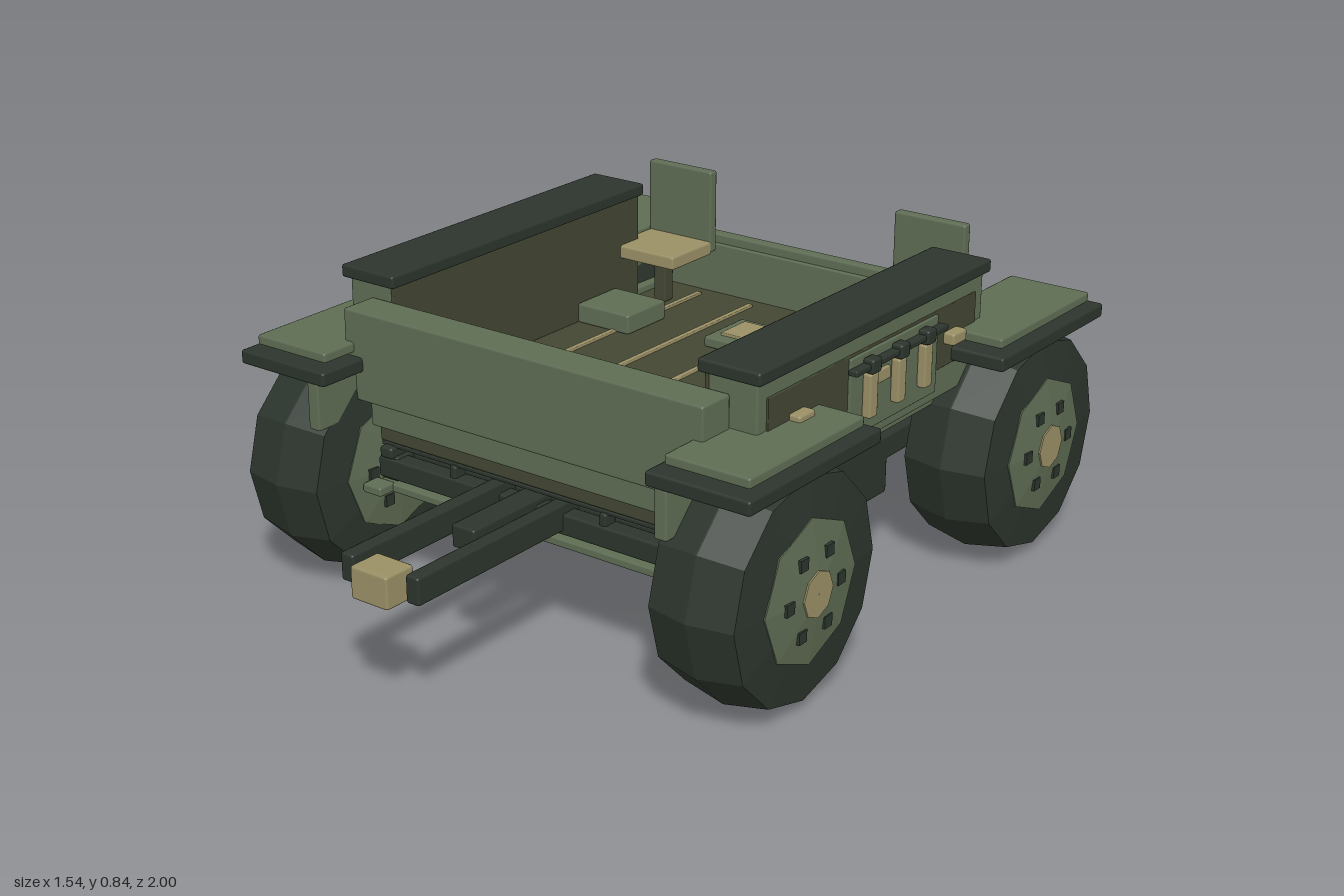
import * as THREE from 'three';
import { RoundedBoxGeometry } from 'three/addons/geometries/RoundedBoxGeometry.js';

const paint = (name, color) => {
  const m = new THREE.MeshStandardMaterial({ color });
  m.name = name;
  return m;
};

export function createModel() {
  const green = paint('field green', 0x5f6d54);
  const dark = paint('dark rubber green', 0x2c352d);
  const tan = paint('tan', 0x9a9066);
  const olive = paint('deck olive', 0x434733);
  const model = new THREE.Group();
  model.name = 'openUtilityCarrier';

  // Softly bevelled box from its x, y and z ranges
  const box = (name, mat, [x0, x1], [y0, y1], [z0, z1]) => {
    const size = [x1 - x0, y1 - y0, z1 - z0];
    const bevel = Math.min(0.007, Math.min(...size) * 0.25);
    const mesh = new THREE.Mesh(new RoundedBoxGeometry(...size, 1, bevel), mat);
    mesh.position.set((x0 + x1) / 2, (y0 + y1) / 2, (z0 + z1) / 2);
    mesh.name = name;
    model.add(mesh);
  };
  // The same box on both sides
  const pair = (name, mat, [x0, x1], y, z) => {
    box(name + 'Left', mat, [x0, x1], y, z);
    box(name + 'Right', mat, [-x1, -x0], y, z);
  };
  // Faceted solid of revolution about the x axis, symmetric about its middle
  const turned = (name, mat, half, sides) => {
    const profile = [...half.map(([r, h]) => [r, -h]), ...half.slice().reverse()];
    let g = new THREE.LatheGeometry(profile.map(p => new THREE.Vector2(...p)), sides);
    g = g.toNonIndexed();
    g.computeVertexNormals();
    g.rotateZ(-Math.PI / 2);
    const mesh = new THREE.Mesh(g, mat);
    mesh.name = name;
    return mesh;
  };

  // Wheel: crowned tyre, shallow conical hub, cap and six bolts
  const makeWheel = () => {
    const wheel = new THREE.Group();
    wheel.name = 'wheel';
    wheel.add(
      turned('tyre', dark, [[0.001, 0.12], [0.15, 0.129], [0.278, 0.115], [0.3, 0.002]], 12),
      turned('hub', green, [[0.001, 0.146], [0.058, 0.146], [0.181, 0.129], [0.181, 0.11]], 8),
      turned('hubCap', tan, [[0.001, 0.15], [0.058, 0.15], [0.058, 0.14]], 8));
    for (let i = 0; i < 6; i++) {
      const a = i * Math.PI / 3;
      const bolt = new THREE.Mesh(new THREE.BoxGeometry(0.29, 0.03, 0.03), dark);
      bolt.position.set(0, 0.102 * Math.sin(a), 0.102 * Math.cos(a));
      bolt.name = 'wheelBolt';
      wheel.add(bolt);
    }
    return wheel;
  };

  for (const z of [0.37, -0.7]) {
    for (const s of [1, -1]) {
      const wheel = makeWheel();
      wheel.position.set(s * 0.621, 0.3, z);
      model.add(wheel);
    }
    // Axle, fender plates and fender inner wall
    box('axle', dark, [-0.55, 0.55], [0.29, 0.35], [z - 0.03, z + 0.03]);
    pair('fenderBase', dark, [0.48, 0.76], [0.575, 0.612], [z - 0.26, z + 0.26]);
    pair('fenderTop', green, [0.507, 0.735], [0.62, 0.647], [z - 0.225, z + 0.225]);
    pair('fenderInnerWall', green, [0.504, 0.54], [0.455, 0.58], [z - 0.258, z + 0.258]);
  }

  // Tub and chassis
  box('underPlate', dark, [-0.47, 0.47], [0.375, 0.385], [-0.76, 0.45]);
  box('lowerTub', olive, [-0.475, 0.475], [0.385, 0.43], [-0.76, 0.45]);
  box('tubBand', green, [-0.48, 0.48], [0.43, 0.465], [-0.78, 0.47]);
  box('frontSill', green, [-0.48, 0.48], [0.43, 0.497], [0.4, 0.474]);
  box('floor', olive, [-0.49, 0.49], [0.46, 0.475], [-0.77, 0.42]);
  pair('sillRail', green, [0.475, 0.56], [0.44, 0.495], [-0.75, 0.42]);
  pair('chassisRail', dark, [0.41, 0.47], [0.29, 0.355], [-0.75, 0.46]);
  for (const z of [-0.74, 0.44]) {
    box('crossMember', dark, [-0.47, 0.47], [0.295, 0.35], [z - 0.025, z + 0.025]);
    box('lowerCrossBar', green, [-0.47, 0.47], [0.265, 0.287], [z - 0.03, z + 0.03]);
    pair('chassisPost', dark, [0.22, 0.24], [0.345, 0.38], [z - 0.02, z + 0.02]);
    pair('chassisMount', dark, [0.42, 0.46], [0.35, 0.38], [z - 0.03, z + 0.03]);
  }
  pair('sideTank', dark, [0.29, 0.47], [0.2, 0.355], [-0.4, 0.005]);
  pair('frontShackle', green, [0.42, 0.48], [0.265, 0.29], [0.46, 0.515]);

  // Floor strips and pedestals
  for (const x of [-0.345, -0.172, 0, 0.172, 0.345])
    box('floorStrip', tan, [x - 0.008, x + 0.008], [0.473, 0.482], [-0.71, 0.37]);
  for (const [x, z] of [[0, -0.46], [0.295, 0.07], [-0.295, 0.07]]) {
    box('pedestal', green, [x - 0.087, x + 0.087], [0.475, 0.505], [z - 0.087, z + 0.087]);
    box('pedestalPad', tan, [x - 0.055, x + 0.055], [0.503, 0.513], [z - 0.055, z + 0.055]);
  }

  // Front and rear walls
  box('frontWall', green, [-0.538, 0.538], [0.497, 0.73], [0.39, 0.494]);
  box('rearWall', green, [-0.49, 0.49], [0.45, 0.64], [-0.8, -0.765]);
  box('rearWallLedge', green, [-0.48, 0.48], [0.47, 0.615], [-0.766, -0.75]);

  // Side walls with inner lining, recessed outer panel and dark top rail
  pair('sideWall', green, [0.475, 0.61], [0.49, 0.768], [-0.59, 0.39]);
  pair('sideLining', olive, [0.467, 0.476], [0.475, 0.764], [-0.59, 0.39]);
  pair('sidePanel', olive, [0.607, 0.615], [0.57, 0.725], [-0.55, 0.355]);
  pair('topRail', dark, [0.455, 0.626], [0.766, 0.8], [-0.6, 0.405]);

  // Tool rack on each side
  pair('toolPlate', green, [0.608, 0.622], [0.52, 0.72], [-0.36, 0.03]);
  pair('toolBar', dark, [0.62, 0.645], [0.683, 0.698], [-0.37, 0.04]);
  for (const z of [-0.04, -0.165, -0.285]) {
    pair('tool', tan, [0.62, 0.645], [0.56, 0.672], [z - 0.018, z + 0.018]);
    pair('toolClip', dark, [0.62, 0.652], [0.672, 0.71], [z - 0.02, z + 0.02]);
  }
  pair('toolBlock', tan, [0.62, 0.632], [0.63, 0.662], [-0.13, -0.065]);
  for (const z of [0.24, -0.43])
    pair('sideMarker', tan, [0.61, 0.645], [0.63, 0.662], [z - 0.032, z + 0.032]);

  // Rear seats with posts, backs and foot boxes
  pair('seatPost', olive, [0.375, 0.415], [0.475, 0.615], [-0.63, -0.59]);
  pair('seatCushion', tan, [0.29, 0.5], [0.605, 0.643], [-0.69, -0.51]);
  pair('seatBack', green, [0.29, 0.5], [0.61, 0.84], [-0.712, -0.682]);
  pair('footBox', green, [0.295, 0.467], [0.475, 0.53], [-0.485, -0.32]);

  // Front drawbar and hitches
  pair('drawbar', dark, [0.078, 0.117], [0.305, 0.375], [0.4, 0.965]);
  box('centreBar', dark, [-0.035, 0.035], [0.305, 0.365], [0.4, 0.685]);
  box('frontHitch', tan, [-0.055, 0.055], [0.29, 0.372], [0.91, 1]);
  box('rearHitch', green, [-0.055, 0.055], [0.29, 0.37], [-0.985, -0.805]);

  // Rear marker panel and lamps
  box('rearPanel', dark, [-0.105, 0.105], [0.365, 0.442], [-0.815, -0.755]);
  for (const x of [-0.06, -0.02, 0.02, 0.06])
    box('rearPanelMark', tan, [x - 0.012, x + 0.012], [0.39, 0.42], [-0.819, -0.814]);
  pair('tailLampHousing', dark, [0.4, 0.495], [0.345, 0.495], [-0.835, -0.755]);
  pair('tailLamp', tan, [0.41, 0.475], [0.445, 0.487], [-0.85, -0.834]);

  return model;
}
